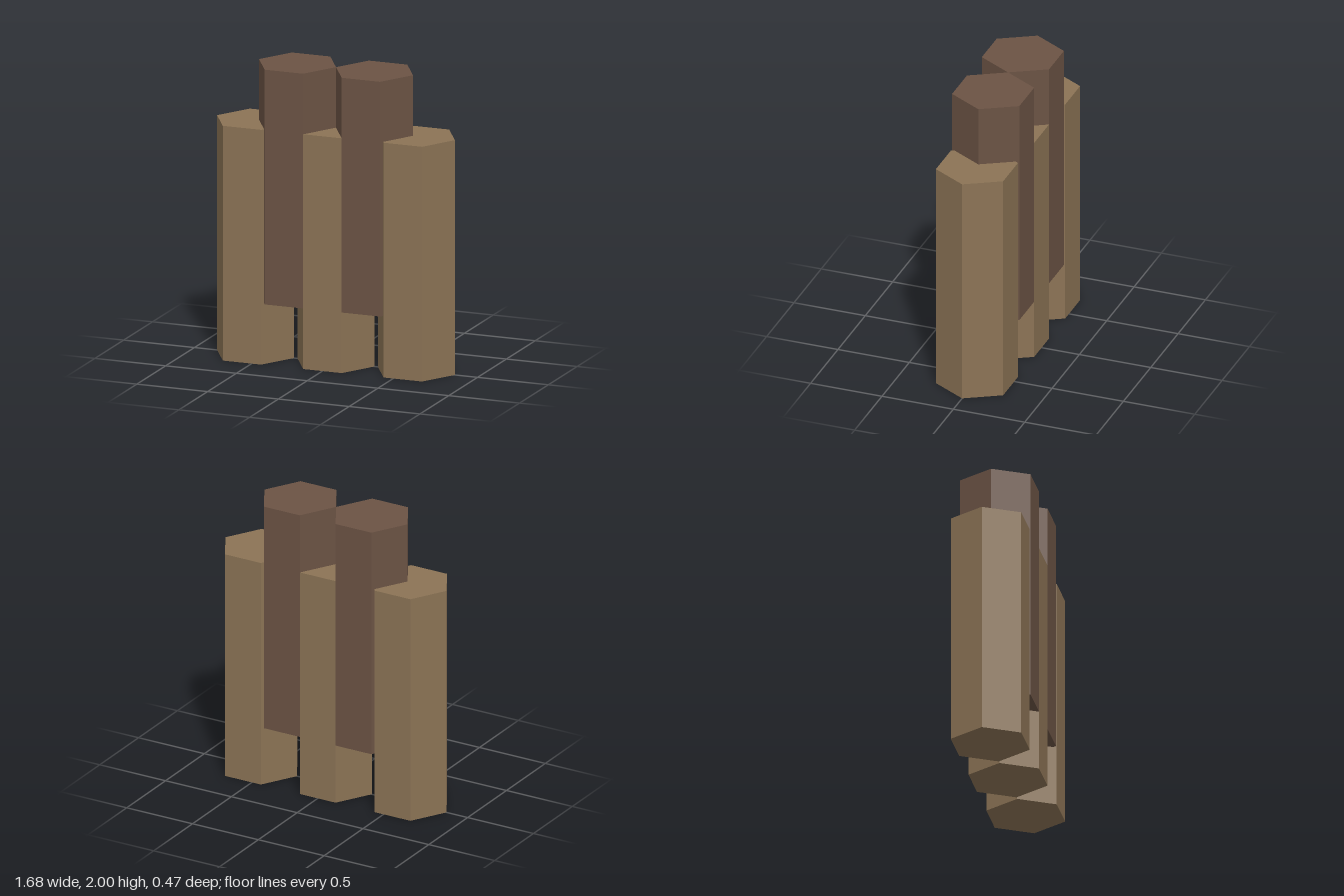
import * as THREE from 'three';

const RADIUS = 0.272;
const HEIGHT = 1.59;

export function createModel() {
  const group = new THREE.Group();
  const light = new THREE.MeshStandardMaterial({ color: 0x8b7355, flatShading: true });
  const dark = new THREE.MeshStandardMaterial({ color: 0x6b5344, flatShading: true });

  // Hexagonal prism with corners pointing to the sides and a flat face to the front
  const prism = new THREE.CylinderGeometry(RADIUS, RADIUS, HEIGHT, 6, 1, false, Math.PI / 6);

  function addColumn(name, x, bottom, material) {
    const mesh = new THREE.Mesh(prism, material);
    mesh.name = name;
    mesh.position.set(x, bottom + HEIGHT / 2, 0);
    group.add(mesh);
  }

  // Three light columns standing on the ground
  addColumn('middleColumn', 0, 0, light);
  for (const [side, s] of [['left', 1], ['right', -1]]) {
    addColumn(side + 'OuterColumn', s * 0.568, 0, light);
    // Darker columns raised between them
    addColumn(side + 'RaisedColumn', s * RADIUS, 0.41, dark);
  }
  return group;
}
